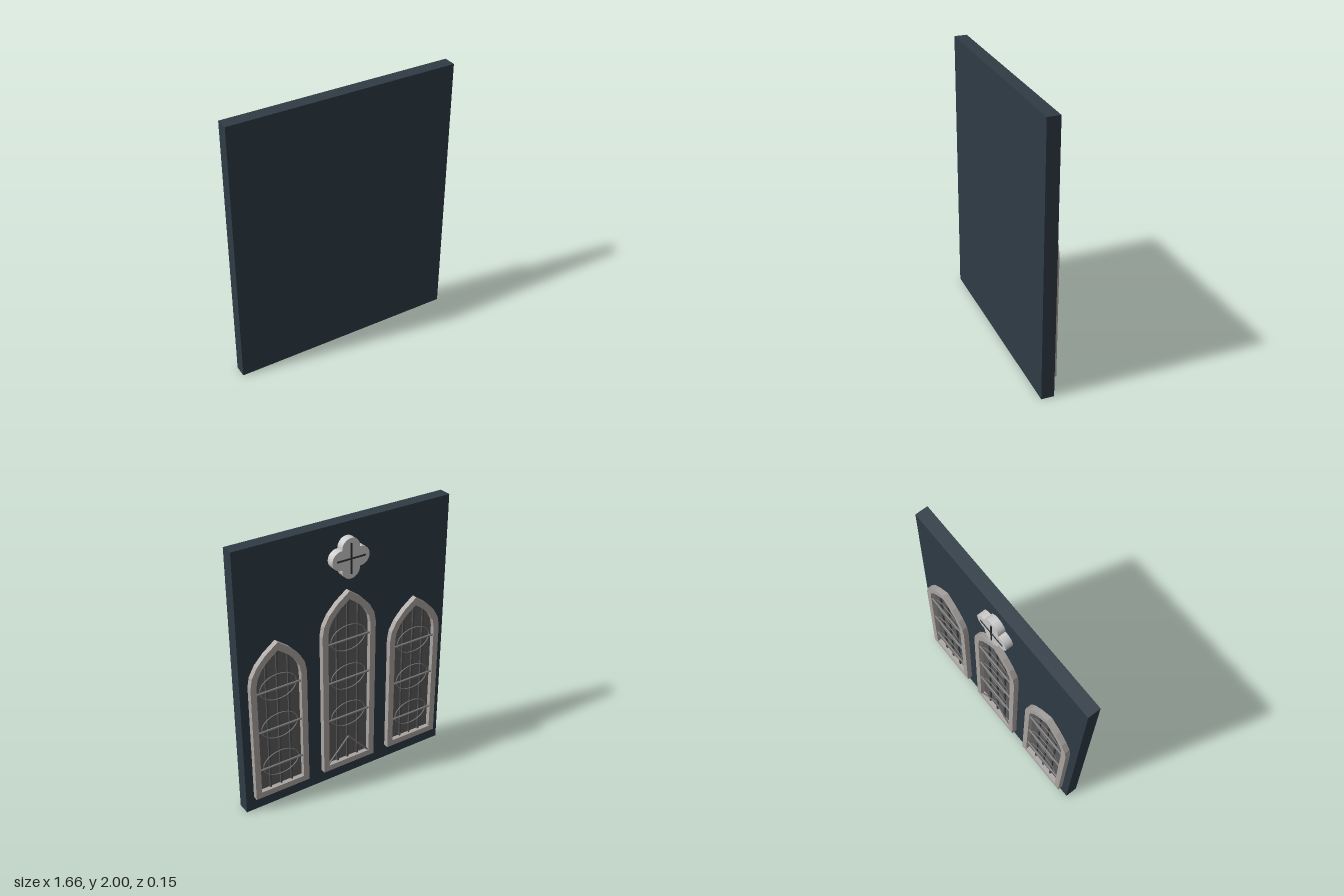
import * as THREE from 'three';

const mat = (color, flatShading = true) => new THREE.MeshStandardMaterial({ color, flatShading });
const wallMat = mat(0x2f3b45);
const stoneMat = mat(0xaaa5a2);
const foilMat = mat(0xcccccc);
const glassMat = mat(0x5c5c5c);
const leadMat = mat(0x505050);
const ironMat = mat(0x7a7a7a, false);
const darkMat = mat(0x303030);

const WALL_BACK = -0.015;
const SILL = 0.11;
const HALF = 0.215; // outer half width of a window
const BORDER = 0.045;

function add(parent, name, geometry, material, x = 0, y = 0, z = 0) {
  const mesh = new THREE.Mesh(geometry, material);
  mesh.name = name;
  mesh.position.set(x, y, z);
  parent.add(mesh);
  return mesh;
}

// Pointed arch outline
function trace(path, hw, bottom, spring, rise) {
  path.moveTo(-hw, bottom);
  path.lineTo(hw, bottom);
  path.lineTo(hw, spring);
  path.quadraticCurveTo(hw, spring + rise * 0.52, 0, spring + rise);
  path.quadraticCurveTo(-hw, spring + rise * 0.52, -hw, spring);
  path.lineTo(-hw, bottom);
  return path;
}

// Extrude with the outer face at z = -depth
function slab(shape, depth, curveSegments) {
  return new THREE.ExtrudeGeometry(shape, { depth, curveSegments, bevelEnabled: false }).translate(0, 0, -depth);
}

// Round rod between two points of the window plane
function rod(parent, name, a, b, z, r) {
  const d = new THREE.Vector2().subVectors(b, a);
  const mesh = add(parent, name, new THREE.CylinderGeometry(r, r, d.length(), 8), ironMat,
    (a.x + b.x) / 2, (a.y + b.y) / 2, z);
  mesh.rotation.z = Math.atan2(d.y, d.x) - Math.PI / 2;
}

function makeWindow(name, x, spring, barHeights, gable) {
  const g = new THREE.Group();
  g.name = name;
  g.position.set(x, 0, WALL_BACK);
  const rise = 0.29, hw = HALF - BORDER, innerRise = rise - 0.06;

  // stone surround
  const surround = trace(new THREE.Shape(), HALF, SILL, spring, rise);
  surround.holes.push(trace(new THREE.Path(), hw, SILL + BORDER, spring, innerRise));
  add(g, 'stoneSurround', slab(surround, 0.04, 4), stoneMat);

  // glass pane
  add(g, 'glassPane', slab(trace(new THREE.Shape(), hw, SILL + BORDER, spring, innerRise), 0.006, 4), glassMat);

  // upright mullions, shorter towards the sides
  for (const mx of [-0.085, 0, 0.085]) {
    const top = spring + (mx === 0 ? innerRise - 0.01 : innerRise * 0.73);
    const bottom = SILL + BORDER;
    add(g, 'mullion', new THREE.BoxGeometry(0.013, top - bottom, 0.016), leadMat, mx, (top + bottom) / 2, -0.012);
  }

  // cross bars, each with an oval ring
  for (const y of barHeights) {
    rod(g, 'crossBar', new THREE.Vector2(-hw, y), new THREE.Vector2(hw, y), -0.028, 0.008);
    const ring = add(g, 'ovalRing', new THREE.TorusGeometry(0.14, 0.004, 6, 24), ironMat, 0, y + 0.01, -0.024);
    ring.scale.y = 0.7;
  }

  // small gable at the foot
  if (gable) {
    for (const s of [-1, 1])
      rod(g, 'gableBar', new THREE.Vector2(s * hw, SILL + BORDER), new THREE.Vector2(0, 0.34), -0.026, 0.006);
  }
  return g;
}

function makeQuatrefoil() {
  const g = new THREE.Group();
  g.name = 'quatrefoil';
  g.position.set(0, 1.763, WALL_BACK);
  // four round lobes
  const offset = 0.075, r = 0.069, shape = new THREE.Shape();
  for (let i = 0; i < 4; i++) {
    const a = (i * Math.PI) / 2;
    shape.absarc(Math.cos(a) * offset, Math.sin(a) * offset, r, a - 1.64, a + 1.64, false);
  }
  add(g, 'lobedStone', slab(shape, 0.056, 10), foilMat);
  // thin cross on the face
  add(g, 'crossUpright', new THREE.BoxGeometry(0.011, 0.22, 0.008), darkMat, 0, 0, -0.057);
  add(g, 'crossArm', new THREE.BoxGeometry(0.22, 0.011, 0.008), darkMat, 0, 0, -0.057);
  return g;
}

export function createModel() {
  const model = new THREE.Group();
  model.name = 'windowWall';
  add(model, 'wall', new THREE.BoxGeometry(1.665, 2, 0.093), wallMat, 0, 1, 0.0315);

  const sideBars = [0.335, 0.645, 0.955];
  model.add(makeWindow('leftWindow', 0.556, 1.02, sideBars, false));
  model.add(makeWindow('middleWindow', 0, 1.23, [0.53, 0.84, 1.15], true));
  model.add(makeWindow('rightWindow', -0.556, 1.02, sideBars, false));
  model.add(makeQuatrefoil());
  return model;
}
